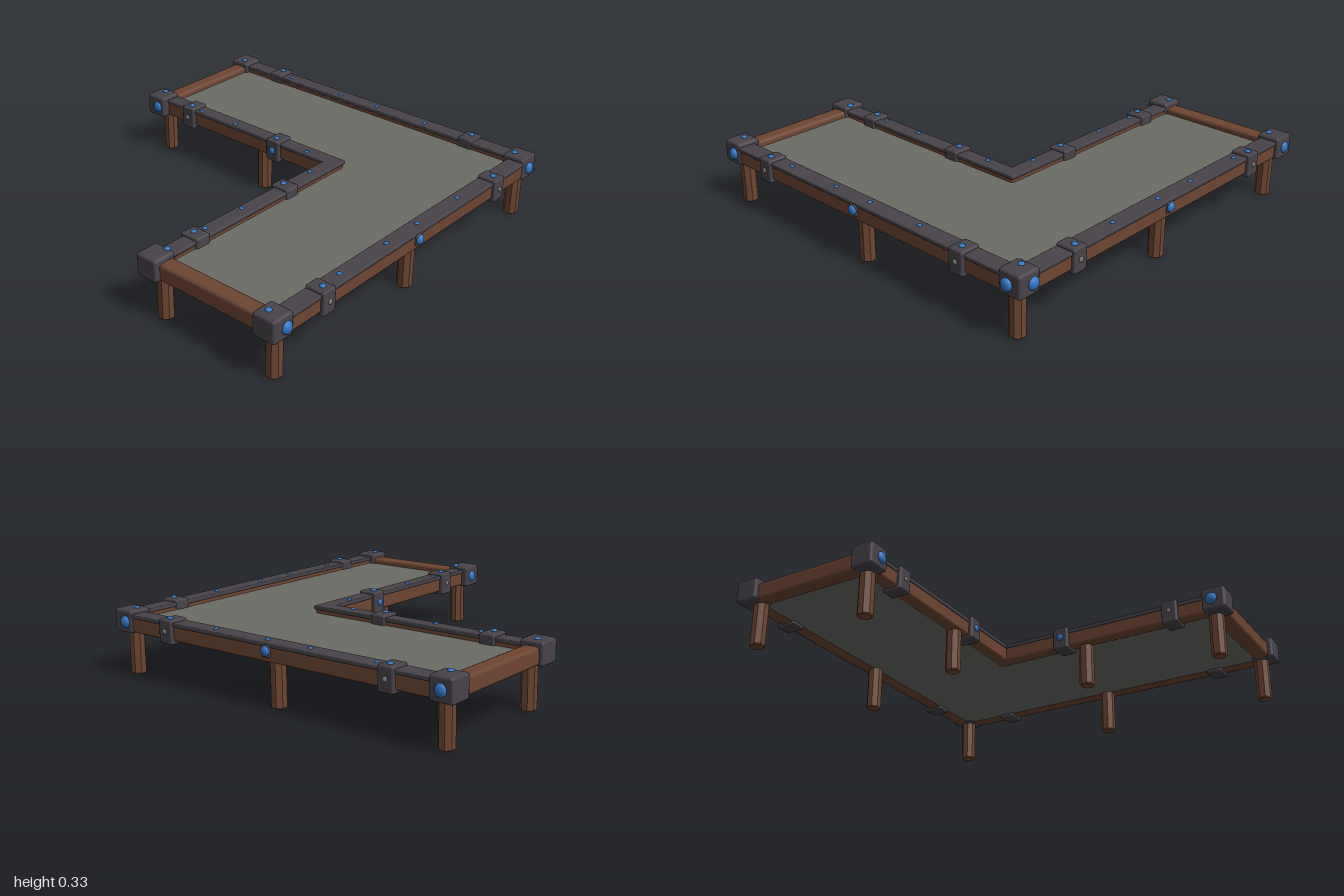
import * as THREE from 'three';
import { RoundedBoxGeometry } from 'three/addons/geometries/RoundedBoxGeometry.js';
import { toCreasedNormals } from 'three/addons/utils/BufferGeometryUtils.js';

const flat = (name, color) => {
  const m = new THREE.MeshStandardMaterial({ color });
  m.name = name;
  return m;
};

export function createModel() {
  const group = new THREE.Group();
  group.name = 'cornerPlatform';
  const wood = flat('wood', 0x6e4531);
  const metal = flat('dark metal', 0x48434a);
  const stone = flat('grey deck', 0x6c6c67);
  const blue = flat('blue stud', 0x2f74c4);
  const steel = flat('worn steel', 0x77777a);

  const add = (name, geo, mat, x, y, z) => {
    const mesh = new THREE.Mesh(geo, mat);
    mesh.name = name;
    mesh.position.set(x, y, z);
    group.add(mesh);
    return mesh;
  };
  // Bevelled box given by its extents
  const box = (name, mat, x0, x1, y0, y1, z0, z1, bevel) =>
    add(name, new RoundedBoxGeometry(x1 - x0, y1 - y0, z1 - z0, 1, bevel), mat,
      (x0 + x1) / 2, (y0 + y1) / 2, (z0 + z1) / 2);
  // Domed stud, flattened along the axis it faces
  const stud = (x, y, z, r, axis = 'y', mat = blue) => {
    const s = add('stud', new THREE.SphereGeometry(r, 10, 8), mat, x, y, z);
    s.scale[axis] = 0.6;
  };

  // L-shaped deck
  const outline = [[-0.93, 0.92], [0.92, 0.92], [0.92, -0.92], [0.25, -0.92], [0.25, 0.265], [-0.93, 0.265]];
  const deckShape = new THREE.Shape(outline.map(([x, y]) => new THREE.Vector2(x, y)));
  const deck = new THREE.ExtrudeGeometry(deckShape, { depth: 0.05, bevelEnabled: false });
  deck.rotateX(-Math.PI / 2);
  add('deck', deck, stone, 0, 0.22, 0);

  // Wooden rails: [x0, x1, z0, z1, has metal cap]
  const rails = [
    [-0.93, 0.91, -0.965, -0.885, true],
    [0.88, 0.96, -0.92, 0.93, true],
    [-0.94, 0.29, -0.3, -0.23, true],
    [0.218, 0.29, -0.3, 0.93, true],
    [-0.975, -0.892, -0.92, -0.25, false],
    [0.25, 0.9, 0.885, 0.97, false],
  ];
  for (const [x0, x1, z0, z1, capped] of rails) {
    box('rail', wood, x0, x1, 0.215, capped ? 0.295 : 0.3, z0, z1, 0.016);
    if (capped) box('railCap', metal, x0 - 0.004, x1 + 0.004, 0.286, 0.306, z0 - 0.004, z1 + 0.004, 0.005);
  }

  // Corner blocks with top studs: [x, z, studX, studZ]
  const corners = [
    [-0.937, -0.925, -0.925, -0.9],
    [0.908, -0.915, 0.885, -0.905],
    [0.908, 0.935, 0.89, 0.94],
    [0.245, 0.935, 0.265, 0.885],
    [-0.937, -0.25, -0.945, -0.275],
  ];
  for (const [x, z, sx, sz] of corners) {
    box('cornerBlock', metal, x - 0.06, x + 0.06, 0.212, 0.325, z - 0.06, z + 0.06, 0.014);
    stud(sx, 0.325, sz, 0.016);
  }

  // Large studs on the outer faces of the corners
  for (const [x, z, axis] of [
    [-0.937, -0.983, 'z'], [0.89, -0.976, 'z'], [-0.922, -0.192, 'z'],
    [0.972, -0.905, 'x'], [0.97, 0.92, 'x'], [0.187, 0.925, 'x'],
  ]) stud(x, 0.267, z, 0.03, axis);

  // Studs at the middle of the two long outer rails
  box('studBase', metal, -0.035, 0.01, 0.24, 0.298, -0.975, -0.94, 0.008);
  stud(-0.012, 0.27, -0.975, 0.024, 'z');
  box('studBase', metal, 0.94, 0.972, 0.24, 0.298, 0, 0.046, 0.008);
  stud(0.972, 0.27, 0.023, 0.024, 'x');

  // Clamps around the rails: [x, z, rail runs along x, outward direction, blue side stud]
  const clamps = [
    [-0.665, -0.93, true, -1, false], [0.61, -0.93, true, -1, false],
    [0.925, -0.625, false, 1, false], [0.925, 0.66, false, 1, false],
    [-0.71, -0.262, true, 1, false], [-0.105, -0.262, true, 1, true],
    [0.25, 0.1, false, -1, true], [0.25, 0.7, false, -1, false],
  ];
  for (const [x, z, alongX, out, isBlue] of clamps) {
    const hx = alongX ? 0.041 : 0.052, hz = alongX ? 0.052 : 0.041;
    box('clamp', metal, x - hx, x + hx, 0.202, 0.319, z - hz, z + hz, 0.01);
    const side = isBlue ? blue : steel, r = isBlue ? 0.018 : 0.013;
    if (alongX) stud(x, 0.262, z + out * hz, r, 'z', side);
    else stud(x + out * hx, 0.262, z, r, 'x', side);
    stud(x + (alongX ? 0 : out * 0.01), 0.32, z + (alongX ? out * 0.015 : 0), 0.015);
  }

  // Small nails along the metal caps
  for (const x of [-0.58, -0.225, 0.02, 0.335]) stud(x, 0.306, -0.922, 0.012);
  for (const z of [-0.35, -0.03, 0.2, 0.525]) stud(0.914, 0.306, z, 0.012);
  for (const x of [-0.64, -0.395, 0.09]) stud(x, 0.306, -0.248, 0.012);
  for (const z of [-0.095, 0.39, 0.63]) stud(0.24, 0.306, z, 0.012);

  // Legs: octagonal posts with a slightly bevelled foot
  const profile = [[0, 0], [0.033, 0], [0.038, 0.008], [0.038, 0.225], [0, 0.225]];
  const legGeo = toCreasedNormals(
    new THREE.LatheGeometry(profile.map(([r, y]) => new THREE.Vector2(r, y)), 8), 0.5);
  legGeo.rotateY(Math.PI / 8);
  for (const [x, z] of [
    [-0.91, -0.9], [-0.018, -0.9], [0.9, -0.9], [0.9, 0.018], [0.9, 0.915],
    [0.275, 0.915], [0.275, 0.21], [-0.21, -0.275], [-0.91, -0.275],
  ]) add('leg', legGeo, wood, x, 0, z);

  return group;
}
